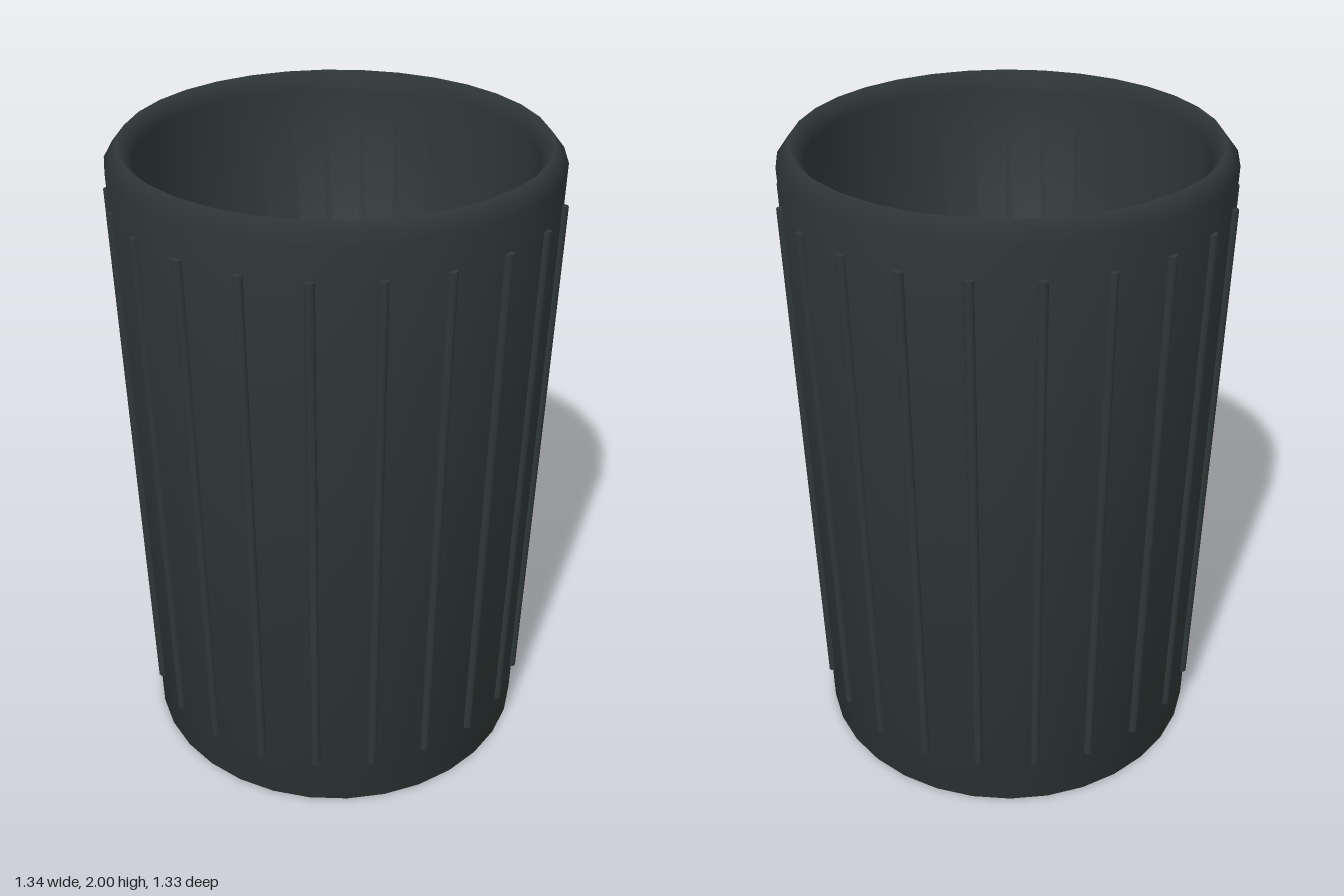
import * as THREE from 'three';

const charcoal = new THREE.MeshStandardMaterial({ color: 0x2f3837 });
charcoal.name = 'charcoal';

const RIBS = 22;

// Radius of the tapered outer wall at height y
const wallRadius = (y) => 0.62 + (0.66 - 0.62) * (y / 1.95);

export function createModel() {
  const model = new THREE.Group();
  model.name = 'cup';

  // Hollow body: base, outer wall, bevelled rim, inner wall and floor in one smooth lathe
  const profile = [
    [0, 0], [0.62, 0], [0.66, 1.95], [0.62, 2], [0.58, 1.95], [0.565, 0.08], [0, 0.08],
  ].map(([r, y]) => new THREE.Vector2(r, y));
  const body = new THREE.Mesh(new THREE.LatheGeometry(profile, 32), charcoal);
  body.name = 'body';
  model.add(body);

  // Thin grip ribs half sunk into the wall and leaning with its taper
  const low = 0.16, high = 1.85;
  const run = wallRadius(high) - wallRadius(low);
  const ribGeometry = new THREE.CylinderGeometry(0.014, 0.014, Math.hypot(run, high - low), 8);
  ribGeometry.rotateZ(-Math.atan2(run, high - low));
  ribGeometry.translate(wallRadius((low + high) / 2), (low + high) / 2, 0);
  const ribs = new THREE.Group();
  ribs.name = 'gripRibs';
  for (let i = 0; i < RIBS; i++) {
    const rib = new THREE.Mesh(ribGeometry, charcoal);
    rib.name = 'rib';
    rib.rotation.y = (i / RIBS) * Math.PI * 2;
    ribs.add(rib);
  }
  model.add(ribs);

  return model;
}
